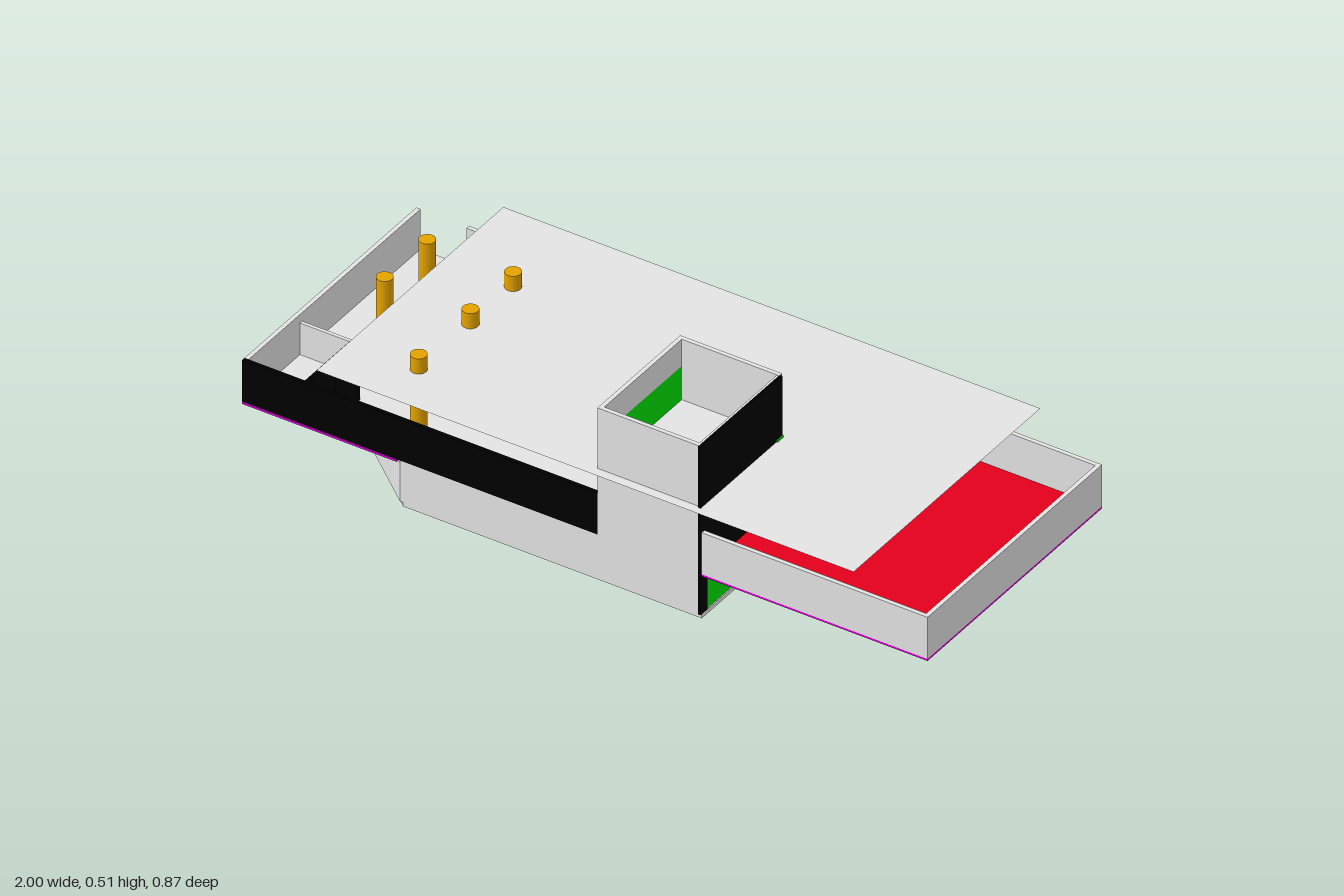
import * as THREE from 'three';

const material = (name, color, side = THREE.FrontSide) => {
  const m = new THREE.MeshStandardMaterial({ color, side });
  m.name = name;
  return m;
};

export function createModel() {
  const house = new THREE.Group();
  house.name = 'house';
  const grey = material('light grey', 0xe4e4e4);
  const roofGrey = material('roof grey', 0xe4e4e4, THREE.DoubleSide);
  const black = material('black', 0x000000);
  const green = material('green', 0x00e600);
  const red = material('red', 0xe4001c);
  const magenta = material('magenta', 0xe400e0);
  const brown = material('dark brown', 0x544a3e);
  const ochre = material('ochre', 0xe4a400);

  const add = (name, geometry, mat) => {
    const mesh = new THREE.Mesh(geometry, mat);
    mesh.name = name;
    house.add(mesh);
    return mesh;
  };
  // Box given by its limits on each axis
  const box = (name, mat, x0, x1, y0, y1, z0, z1) => {
    const g = new THREE.BoxGeometry(x1 - x0, y1 - y0, z1 - z0);
    g.translate((x0 + x1) / 2, (y0 + y1) / 2, (z0 + z1) / 2);
    return add(name, g, mat);
  };
  // Horizontal slab from an outline of [x, z] points, with optional holes
  const slab = (name, mat, points, y0, y1, holes = []) => {
    const toPoints = list => list.map(([x, z]) => new THREE.Vector2(x, -z));
    const shape = new THREE.Shape(toPoints(points));
    for (const h of holes) shape.holes.push(new THREE.Path(toPoints(h)));
    const g = new THREE.ExtrudeGeometry(shape, { depth: y1 - y0, bevelEnabled: false });
    g.rotateX(-Math.PI / 2);
    g.translate(0, y0, 0);
    return add(name, g, mat);
  };

  // Ground slab with its cut corner, and the wedge step behind
  slab('groundSlab', grey, [[-0.53, 0.405], [0.34, 0.405], [0.34, -0.16], [0.38, -0.16],
    [0.38, -0.365], [-0.98, -0.365], [-0.98, 0.03]], 0, 0.012);
  slab('backStep', grey, [[-0.17, -0.44], [-0.22, -0.36], [0.02, -0.36]], 0.012, 0.032);

  // Lower walls
  const low = 0.012, mid = 0.125, floor = 0.136, top = 0.255;
  box('lowerFrontWall', grey, -0.54, 0.335, low, floor, 0.393, 0.405);
  slab('diagonalWall', grey, [[-0.54, 0.405], [-0.54, 0.389], [-0.98, 0.022], [-0.98, 0.038]], low, mid);
  box('lowerBackWall', grey, -0.5, 0.38, low, floor, -0.365, -0.353);
  box('lowerPorchWall', grey, -0.512, -0.5, low, mid, -0.365, 0.1);
  box('bayWall', grey, 0.368, 0.38, low, mid, -0.353, -0.165);
  box('bayReturn', grey, 0.335, 0.368, low, mid, -0.177, -0.165);
  box('greenSideWall', green, 0.325, 0.337, low, mid, 0.073, 0.38);
  box('blackSideWall', black, 0.325, 0.337, low, mid, -0.115, 0.073);
  box('sidePier', grey, 0.325, 0.337, low, mid, -0.147, -0.115);
  box('sideJamb', black, 0.325, 0.337, low, mid, -0.165, -0.147);
  box('stairDoor', black, -0.085, -0.02, 0.05, 0.128, -0.2, -0.194);

  // Middle floor with the stairwell opening
  slab('upperFloor', grey, [[-0.995, 0.39], [0.34, 0.39], [0.34, -0.36], [-0.5, -0.36],
    [-0.5, -0.372], [-0.995, -0.372]],
    0.131, floor, [[[-0.3, -0.32], [0.06, -0.32], [0.06, -0.2], [-0.3, -0.2]]]);
  // Overhanging ends, with coloured edge and dark underside
  for (const [side, x0, x1, back] of [['left', 0.34, 0.998, -0.28], ['right', -1, -0.55, -0.345]]) {
    box(side + 'EdgePlate', magenta, x0, x1, 0.125, 0.131, -0.372, 0.405);
    box(side + 'Soffit', brown, x0 + 0.002, x1 - 0.004, 0.1235, 0.125, back, 0.4);
  }
  box('redFloor', red, 0.34, 0.988, 0.131, 0.139, -0.36, 0.393);

  // Upper outer walls
  box('frontParapet', black, -1, 0.036, 0.133, top, 0.393, 0.405);
  box('rightEndWall', grey, -1, -0.988, 0.131, top, -0.372, 0.393);
  box('upperBackWall', grey, -0.85, -0.38, 0.131, top, -0.377, -0.365);
  box('wingBackWall', grey, 0.26, 0.998, 0.131, top, -0.372, -0.36);
  box('wingFrontWall', grey, 0.34, 0.998, 0.131, top, 0.393, 0.405);
  box('wingEndWall', grey, 0.986, 0.998, 0.131, top, -0.36, 0.393);

  // Upper partitions
  box('backCupboard', grey, 0.21, 0.3, floor, top, -0.36, -0.27);
  box('partitionBase', grey, -0.666, -0.654, floor, 0.185, -0.29, 0.05);
  box('greenPartition', green, -0.666, -0.654, 0.185, top, -0.29, 0.05);
  box('roomPartition', grey, -0.988, -0.77, floor, 0.23, 0.155, 0.165);
  box('blackPartition', black, -0.836, -0.824, floor, 0.24, 0.165, 0.393);
  box('blackCrossPartition', black, -0.824, -0.76, floor, 0.24, 0.247, 0.257);

  // Tower, open at the top, with dark cladding on its outer side
  box('towerFrontWall', grey, 0.036, 0.332, floor, 0.51, 0.393, 0.405);
  box('towerBackWall', grey, 0.036, 0.332, floor, 0.51, 0.036, 0.048);
  box('towerInnerWallTop', grey, 0.036, 0.048, 0.43, 0.51, 0.048, 0.393);
  box('towerInnerWallBase', green, 0.036, 0.048, floor, 0.43, 0.048, 0.393);
  box('towerOuterWall', grey, 0.325, 0.332, floor, 0.509, 0.048, 0.393);
  box('towerCladding', black, 0.332, 0.34, floor, 0.511, 0.046, 0.41);
  box('towerCornerStrip', black, 0.332, 0.34, low, floor, 0.38, 0.41);
  box('towerGreenPatch', green, 0.34, 0.343, floor, 0.335, 0.046, 0.073);

  // Columns
  for (const [x, z] of [[-0.81, -0.13], [-0.81, 0.06], [-0.56, -0.13], [-0.56, 0.06], [-0.56, 0.29]]) {
    const g = new THREE.CylinderGeometry(0.022, 0.022, 0.242, 16);
    add('column', g, ochre).position.set(x, 0.254, z);
  }

  // Floating roof sheet
  const sheet = new THREE.PlaneGeometry(1.565, 0.832);
  sheet.rotateX(-Math.PI / 2);
  add('roof', sheet, roofGrey).position.set(0.0175, 0.33, 0.016);
  return house;
}
